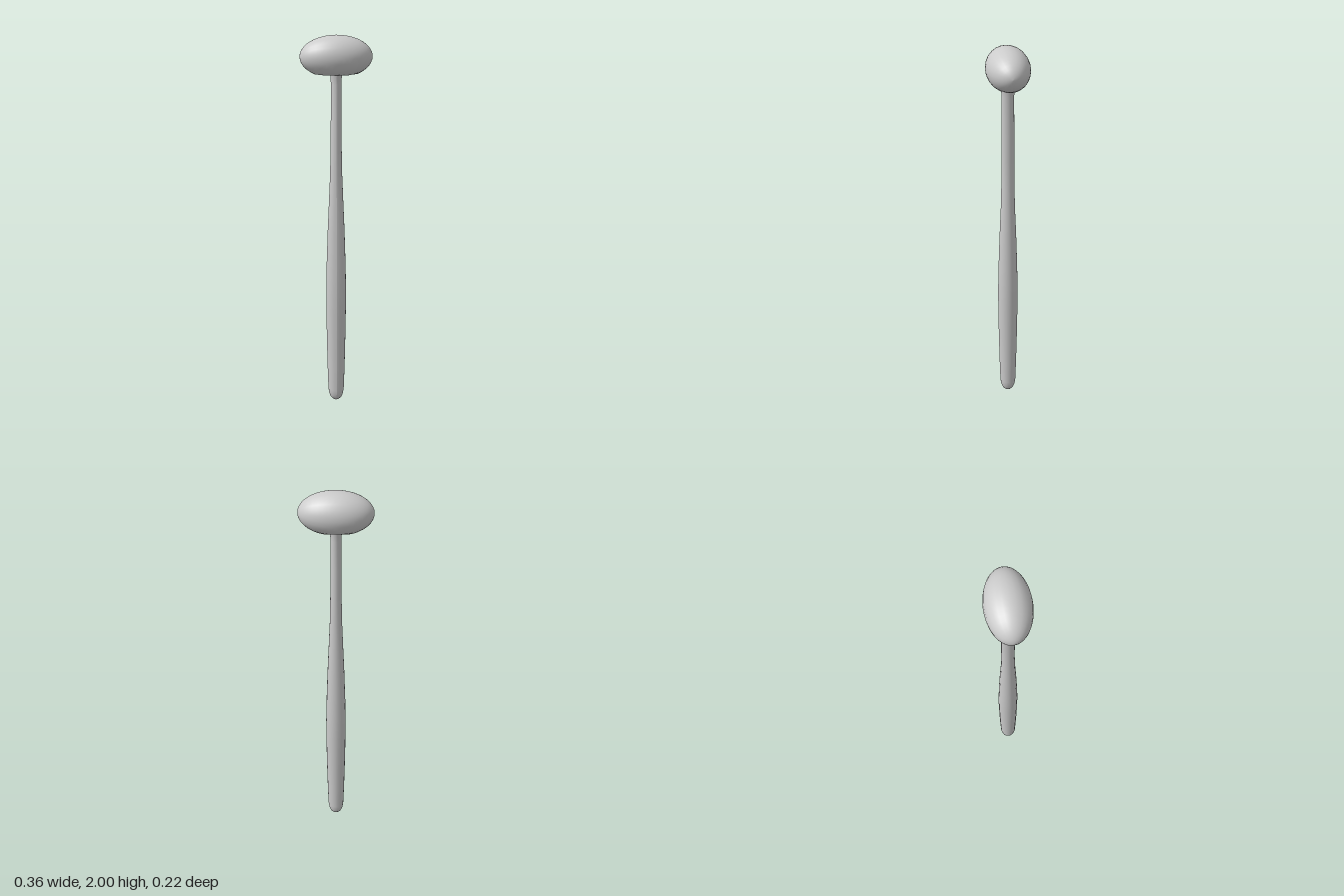
import * as THREE from 'three';

export function createModel() {
  const model = new THREE.Group();
  const material = new THREE.MeshStandardMaterial({ color: 0xcccccc });

  // Swelling handle that narrows into a slender shaft: [radius, height]
  const profile = [
    [0, 0], [0.018, 0.004], [0.031, 0.018], [0.039, 0.04], [0.043, 0.07],
    [0.047, 0.2], [0.051, 0.4], [0.053, 0.56], [0.053, 0.68], [0.05, 0.82],
    [0.044, 1.0], [0.037, 1.16], [0.032, 1.3], [0.03, 1.45], [0.029, 1.6],
    [0.028, 1.76], [0.03, 1.79], [0.034, 1.825],
  ].map(([r, y]) => new THREE.Vector2(r, y));
  const handleGeo = new THREE.LatheGeometry(profile, 20);

  // The upper shaft is slightly oval, deeper than wide
  const hp = handleGeo.attributes.position;
  for (let i = 0; i < hp.count; i++) {
    const k = THREE.MathUtils.smoothstep(hp.getY(i), 1.15, 1.5);
    hp.setX(i, hp.getX(i) * (1 - 0.07 * k));
    hp.setZ(i, hp.getZ(i) * (1 + 0.1 * k));
  }
  handleGeo.computeVertexNormals();
  const handle = new THREE.Mesh(handleGeo, material);
  handle.name = 'handle';
  model.add(handle);

  // Egg-shaped head lying along x, flattened where it meets the shaft
  const headGeo = new THREE.SphereGeometry(1, 24, 20);
  headGeo.rotateZ(Math.PI / 2);
  headGeo.scale(0.18, 0.105, 0.108);
  const p = headGeo.attributes.position;
  for (let i = 0; i < p.count; i++) {
    p.setY(i, Math.max(p.getY(i), -0.085));
  }
  headGeo.computeVertexNormals();
  const head = new THREE.Mesh(headGeo, material);
  head.name = 'head';
  head.position.y = 1.895;
  model.add(head);

  return model;
}
